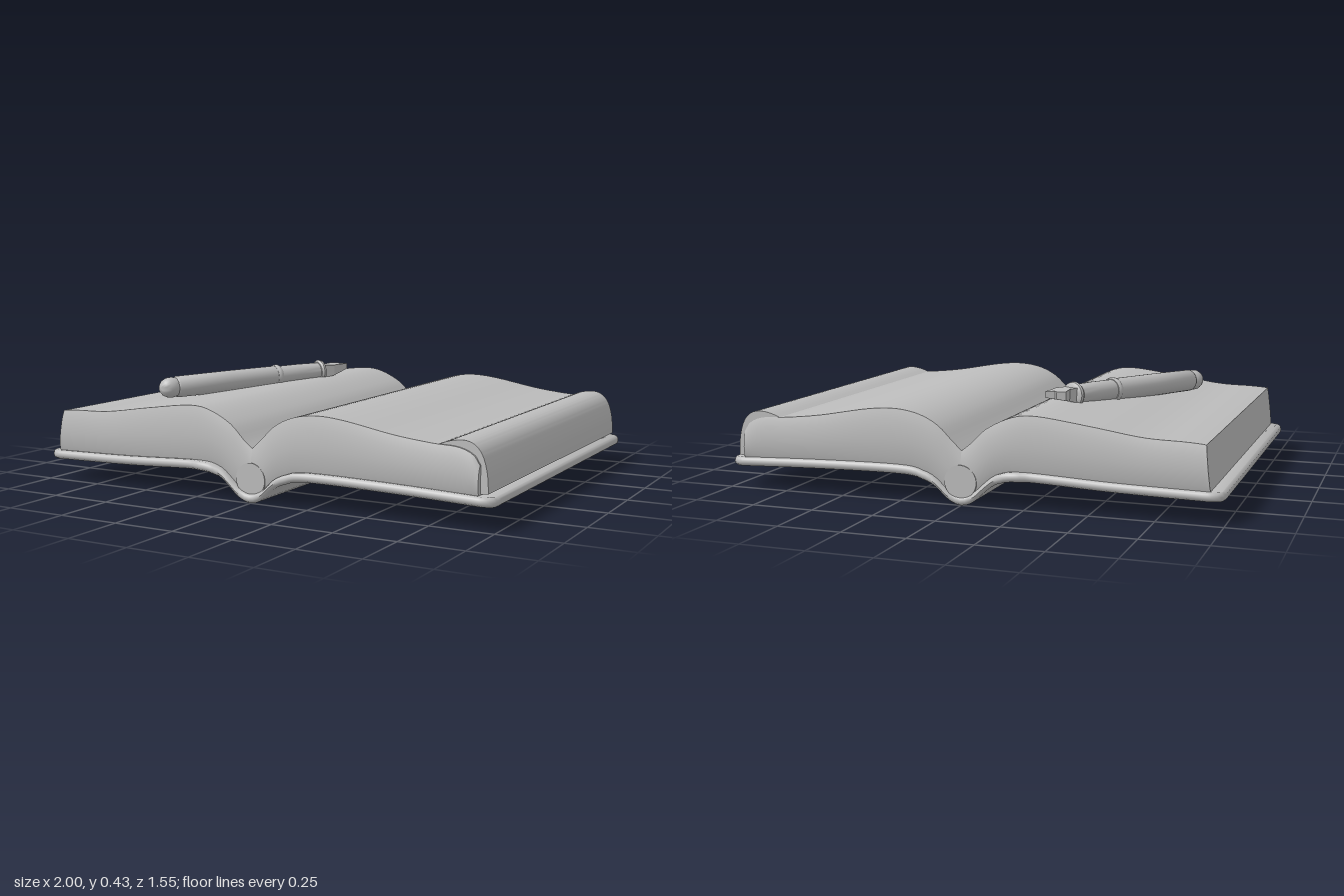
import * as THREE from 'three';
import { toCreasedNormals } from 'three/addons/utils/BufferGeometryUtils.js';

// Smooth height curve y(x) through a few points
function heightCurve(points) {
  const pts = new THREE.SplineCurve(points.map(p => new THREE.Vector2(...p))).getPoints(160);
  return x => {
    if (x <= pts[0].x) return pts[0].y;
    for (let i = 1; i < pts.length; i++) {
      if (x <= pts[i].x) {
        const a = pts[i - 1], b = pts[i];
        return a.y + (b.y - a.y) * (x - a.x) / (b.x - a.x || 1);
      }
    }
    return pts[pts.length - 1].y;
  };
}

// Skin over equal-length rings of [x, y, z], ordered along +x, with capped ends
function loft(rings, crease = 0.6) {
  const n = rings[0].length, index = [], last = (rings.length - 1) * n;
  for (let i = 0; i < rings.length - 1; i++) {
    for (let j = 0; j < n; j++) {
      const a = i * n + j, b = i * n + (j + 1) % n;
      index.push(a, b, b + n, a, b + n, a + n);
    }
  }
  for (let j = 1; j < n - 1; j++) {
    index.push(0, j + 1, j, last, last + j, last + j + 1);
  }
  const g = new THREE.BufferGeometry();
  g.setAttribute('position', new THREE.Float32BufferAttribute(rings.flat(2), 3));
  g.setIndex(index);
  return toCreasedNormals(g, crease);
}

const steps = (a, b, n) => Array.from({ length: n + 1 }, (_, i) => a + (b - a) * i / n);

export function createModel() {
  const book = new THREE.Group();
  book.name = 'openBookWithPen';
  const grey = new THREE.MeshStandardMaterial({ color: 0xbcbcbc });
  grey.name = 'plainGrey';
  const add = (parent, name, geometry) => {
    const m = new THREE.Mesh(geometry, grey);
    m.name = name;
    parent.add(m);
    return m;
  };

  // Cover: one board bent down into a rounded spine
  const under = heightCurve([[-1, 0.09], [-0.6, 0.098], [-0.25, 0.112], [-0.15, 0.098], [-0.1, 0.065],
    [-0.05, 0.02], [0, 0.003], [0.05, 0.02], [0.1, 0.065], [0.15, 0.09], [0.25, 0.108], [0.6, 0.104], [1, 0.09]]);
  const thick = 0.036, corner = 0.06;
  const coverXs = [-1, -0.996, -0.988, -0.975, -0.955, ...steps(-0.94, 0.94, 94), 0.955, 0.975, 0.988, 0.996, 1];
  add(book, 'cover', loft(coverXs.map(x => {
    const into = THREE.MathUtils.clamp(Math.abs(x) - (1 - corner), 0, corner);
    const edge = Math.max(0, Math.abs(x) - 0.985) / 0.015;
    const bump = 0.012 * Math.exp(-(((x + 0.2) / 0.05) ** 4));
    const hz = 0.765 - corner + Math.sqrt(corner ** 2 - into ** 2) + bump;
    const h = thick / 2 * (1 - 0.45 * edge * edge), mid = under(x) + thick / 2;
    const half = [[h, hz - 0.016], [h * 0.6, hz - 0.004], [0, hz], [-h * 0.6, hz - 0.004], [-h, hz - 0.016]];
    return [...half.map(([y, z]) => [x, mid + y, z]),
      ...half.slice().reverse().map(([y, z]) => [x, mid + y, -z])];
  }), 0.8));

  // Page blocks: arched tops, ends bulging slightly at mid height
  function pageBlock(name, top, xs, lean) {
    add(book, name, loft(xs.map(x => {
      const lo = under(x) + thick - 0.006, hi = top(x);
      const side = [[1, 0.737], [0.8, 0.747], [0.45, 0.753], [0.15, 0.75], [0, 0.742]];
      const point = ([t, z], s) => [x + lean(x, t), lo + (hi - lo) * t, s * z - 0.004];
      return [...side.map(p => point(p, 1)), ...side.slice().reverse().map(p => point(p, -1))];
    })));
  }
  pageBlock('leftHandPages',
    heightCurve([[-0.95, 0.294], [-0.85, 0.3], [-0.7, 0.306], [-0.5, 0.335], [-0.3, 0.36], [-0.2, 0.35],
      [-0.1, 0.302], [-0.04, 0.245], [0, 0.213]]),
    steps(-0.95, 0, 48),
    (x, t) => x < -0.9 ? 0.02 * t * (-0.9 - x) / 0.05 : 0);
  pageBlock('rightHandPages',
    heightCurve([[0, 0.213], [0.04, 0.25], [0.1, 0.307], [0.18, 0.345], [0.28, 0.36], [0.4, 0.351],
      [0.6, 0.316], [0.75, 0.299], [0.85, 0.293], [0.91, 0.27], [0.935, 0.235]]),
    steps(0, 0.935, 48), () => 0);

  // Loose page curling over the fore edge
  const curl = new THREE.Shape();
  curl.moveTo(0.77, 0.295);
  curl.splineThru([[0.82, 0.312], [0.87, 0.318], [0.91, 0.306], [0.94, 0.272], [0.959, 0.21], [0.965, 0.135]]
    .map(p => new THREE.Vector2(...p)));
  curl.lineTo(0.928, 0.13);
  curl.splineThru([[0.926, 0.22], [0.9, 0.27], [0.85, 0.285], [0.77, 0.292]].map(p => new THREE.Vector2(...p)));
  const curlGeo = new THREE.ExtrudeGeometry(curl, { depth: 1.465, bevelEnabled: false, curveSegments: 6 });
  curlGeo.translate(0, 0, -0.74);
  add(book, 'curledPage', toCreasedNormals(curlGeo, 0.6));

  // Rounded binding showing at both ends of the spine
  const binding = add(book, 'spineBinding', new THREE.CylinderGeometry(0.065, 0.065, 1.508, 24));
  binding.rotation.x = Math.PI / 2;
  binding.position.set(0, 0.095, -0.004);

  // Pen: local y runs along the barrel, local z faces up
  const pen = new THREE.Group();
  pen.name = 'pen';
  const dir = new THREE.Vector3(0.43, 0.022, -0.903).normalize();
  const across = new THREE.Vector3(-dir.z, 0, dir.x).normalize();
  pen.quaternion.setFromRotationMatrix(
    new THREE.Matrix4().makeBasis(across, dir, new THREE.Vector3().crossVectors(across, dir)));
  pen.position.set(-0.655, 0.366, 0.385);
  book.add(pen);
  const lathe = (name, pts) => add(pen, name,
    toCreasedNormals(new THREE.LatheGeometry(pts.map(p => new THREE.Vector2(...p)), 24), 0.7));
  lathe('penEndKnob', [[0, -0.036], [0.018, -0.033], [0.034, -0.02], [0.043, 0], [0.044, 0.02], [0.04, 0.04], [0.034, 0.05]]);
  lathe('penBarrel', [[0, 0.035], [0.04, 0.036], [0.046, 0.045], [0.047, 0.3], [0.046, 0.545], [0, 0.545]]);
  lathe('penBarrelRing', [[0, 0.54], [0.047, 0.54], [0.051, 0.548], [0.051, 0.558], [0.046, 0.566], [0, 0.566]]);
  lathe('penGrip', [[0, 0.56], [0.043, 0.56], [0.043, 0.68], [0.04, 0.785], [0, 0.785]]);
  lathe('penGripRing', [[0, 0.775], [0.045, 0.777], [0.052, 0.787], [0.05, 0.798], [0.036, 0.806], [0, 0.806]]);

  // Flared, notched nib that thins towards its tip
  const nib = new THREE.Shape([[-0.032, 0.795], [0.034, 0.795], [0.045, 0.847], [0.03, 0.885], [0.012, 0.942],
    [-0.014, 0.915], [-0.03, 0.922], [-0.056, 0.896], [-0.024, 0.84]].map(p => new THREE.Vector2(...p)));
  const nibGeo = new THREE.ExtrudeGeometry(nib, { depth: 1, bevelEnabled: false });
  const pos = nibGeo.attributes.position;
  for (let i = 0; i < pos.count; i++) {
    const t = (pos.getY(i) - 0.795) / 0.147;
    pos.setZ(i, (pos.getZ(i) - 0.5) * (0.06 - 0.035 * t) + 0.012 * t);
  }
  nibGeo.computeVertexNormals();
  add(pen, 'penNib', nibGeo);

  return book;
}
